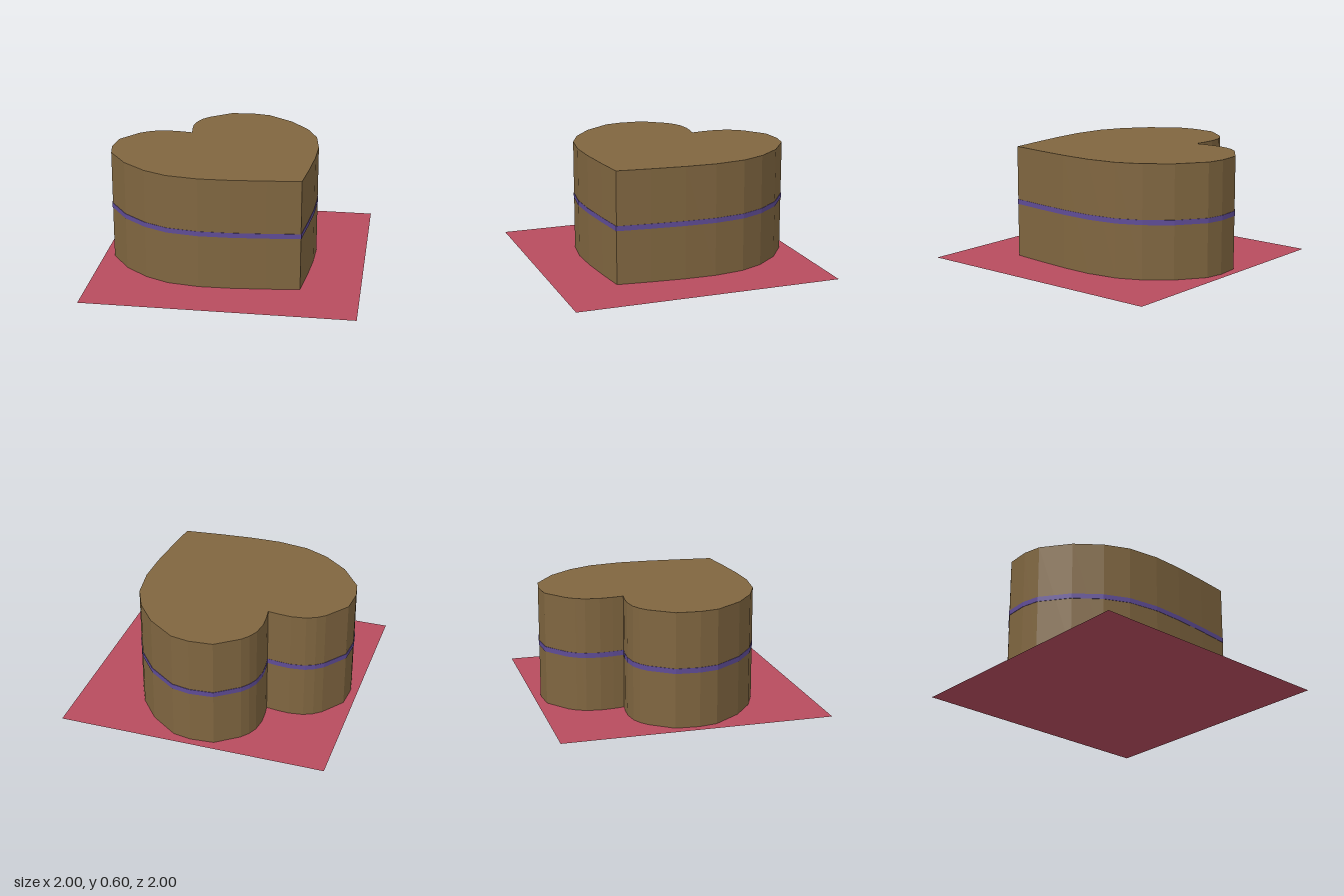
import * as THREE from 'three';

// Right half of the heart outline as [x, z], from the notch round to the tip
const half = [
  [0, -0.4], [0.035, -0.447], [0.08, -0.498], [0.14, -0.543], [0.19, -0.561], [0.24, -0.567],
  [0.385, -0.546], [0.48, -0.465], [0.535, -0.385], [0.565, -0.21], [0.548, -0.05], [0.5, 0.08],
  [0.4, 0.215], [0.28, 0.33], [0.14, 0.448], [0, 0.56],
];

// Upright heart-shaped prism between two heights
function heartPrism(name, color, bottom, top, scale = 1) {
  const mirrored = half.slice(1, -1).reverse().map(([x, z]) => [-x, z]);
  const outline = [...half, ...mirrored].map(([x, z]) => new THREE.Vector2(x * scale, -z * scale));
  const geometry = new THREE.ExtrudeGeometry(new THREE.Shape(outline), { depth: top - bottom, bevelEnabled: false });
  geometry.rotateX(-Math.PI / 2).translate(0, bottom, 0);
  const mesh = new THREE.Mesh(geometry, new THREE.MeshStandardMaterial({ color }));
  mesh.name = name;
  return mesh;
}

export function createModel() {
  const model = new THREE.Group();
  model.name = 'heartBoxOnMat';

  // Thin square mat, turned so its corners lie on the axes
  const mat = new THREE.Mesh(
    new THREE.PlaneGeometry(Math.SQRT2, Math.SQRT2).rotateX(-Math.PI / 2).rotateY(Math.PI / 4),
    new THREE.MeshStandardMaterial({ color: 0xb84c5e, side: THREE.DoubleSide }),
  );
  mat.name = 'mat';

  // Heart body, with a narrow band round its middle
  model.add(
    mat,
    heartPrism('heartBody', 0x806640, 0.002, 0.6),
    heartPrism('middleBand', 0x5f4c96, 0.287, 0.313, 1.004),
  );
  return model;
}
